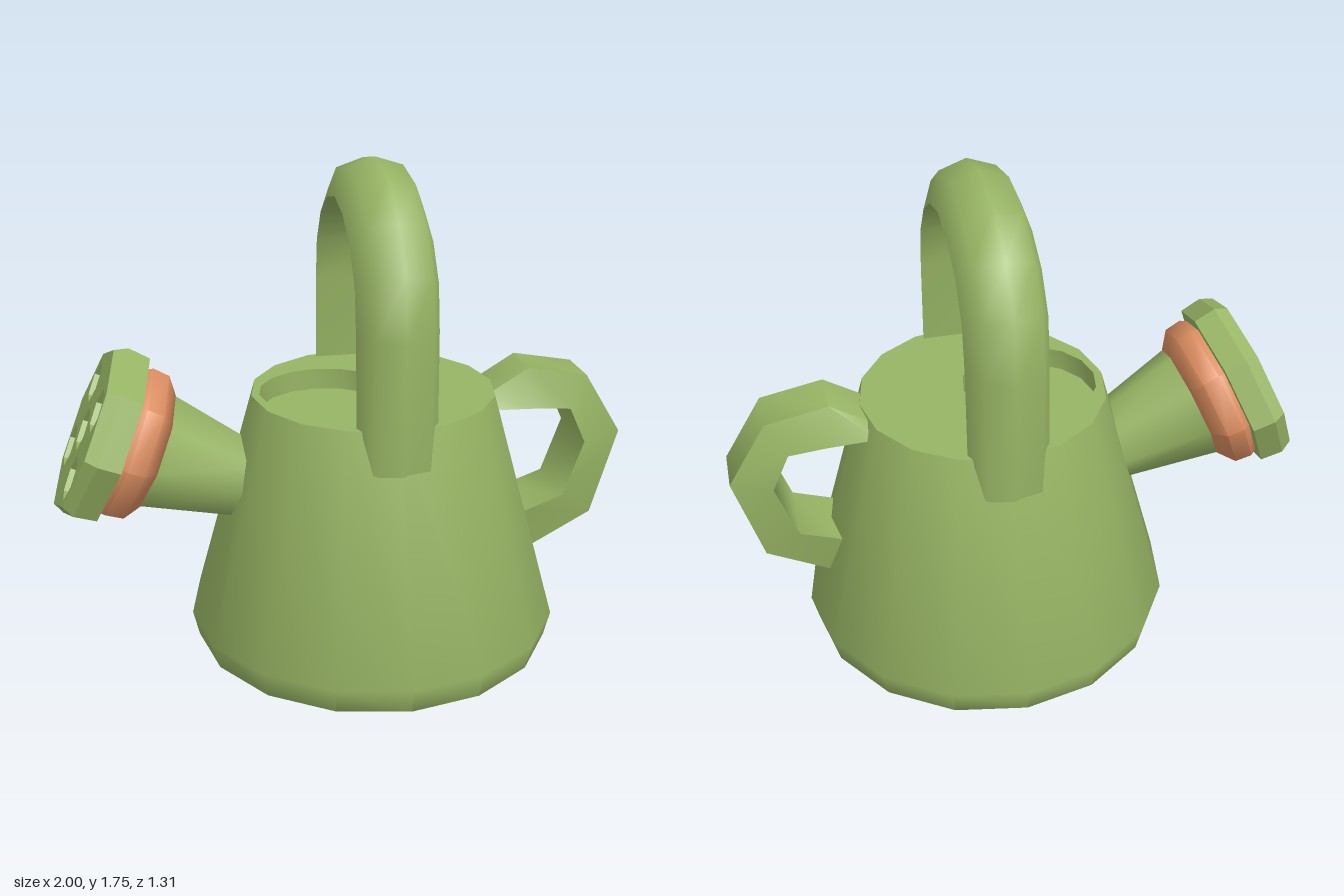
import * as THREE from 'three';
import { toCreasedNormals } from 'three/addons/utils/BufferGeometryUtils.js';

const green = new THREE.MeshStandardMaterial({ color: 0x97b464 });
green.name = 'leaf green';
const orange = new THREE.MeshStandardMaterial({ color: 0xd98c5f });
orange.name = 'terracotta orange';

function mesh(name, geometry, material = green) {
  const m = new THREE.Mesh(geometry, material);
  m.name = name;
  return m;
}

// Turned part: profile of [radius, height] running bottom to top on the outside
function turned(profile, sides, crease = 0.9) {
  const points = profile.map(([r, y]) => new THREE.Vector2(r, y));
  return toCreasedNormals(new THREE.LatheGeometry(points, sides), crease);
}

// Regular polygon matching the vertex layout of a lathe
function polygon(cx, cz, r, sides) {
  const points = [];
  for (let i = 0; i < sides; i++) {
    const a = (i / sides) * Math.PI * 2;
    points.push(new THREE.Vector2(cx + r * Math.sin(a), -(cz + r * Math.cos(a))));
  }
  return points;
}

// Flat upward face with sunken holes, each hole being [x, z]
function piercedFace(name, radius, sides, holes, holeRadius, holeSides, depth) {
  const group = new THREE.Group();
  group.name = name;
  const shape = new THREE.Shape(polygon(0, 0, radius, sides));
  for (const [x, z] of holes) {
    shape.holes.push(new THREE.Path(polygon(x, z, holeRadius, holeSides)));
    const well = mesh(name + 'Hole',
      turned([[holeRadius, 0], [holeRadius, -depth], [0, -depth]], holeSides, 0.6));
    well.position.set(x, 0, z);
    group.add(well);
  }
  group.add(mesh(name + 'Plate', new THREE.ShapeGeometry(shape).rotateX(-Math.PI / 2)));
  return group;
}

// Handle lofted between an outer and an inner rail.
// stations: [outerA, outerY, innerA, innerY]; section: [halfWidth, 0 inner .. 1 outer]
function handle(stations, section, place) {
  const positions = [], index = [], n = section.length;
  stations.forEach(([oa, oy, ia, iy], i) => {
    section.forEach(([w, t], j) => {
      positions.push(...place(ia + (oa - ia) * t, iy + (oy - iy) * t, w));
      if (i === stations.length - 1) return;
      const k = (j + 1) % n;
      const a = i * n + j, b = a + n, c = (i + 1) * n + k, d = i * n + k;
      index.push(a, b, d, b, c, d);
    });
  });
  const g = new THREE.BufferGeometry();
  g.setAttribute('position', new THREE.Float32BufferAttribute(positions, 3));
  g.setIndex(index);
  return toCreasedNormals(g, 1.0);
}

export function createModel() {
  const model = new THREE.Group();
  model.name = 'wateringCan';
  const bodyX = 0.115, topY = 0.945, topR = 0.425;

  // Tapered body with a rounded foot
  const body = mesh('body', turned(
    [[0, 0], [0.55, 0], [0.635, 0.04], [0.656, 0.13], [topR, topY]], 16));
  body.position.x = bodyX;
  model.add(body);

  // Top with the filling hole
  const lid = piercedFace('top', topR, 16, [[-0.165, 0]], 0.232, 16, 0.075);
  lid.position.set(bodyX, topY, 0);
  model.add(lid);

  // Carrying handle arching from front to back
  const half = [
    [0.462, 0.72, 0.382, 0.72], [0.485, 1.25, 0.36, 1.25], [0.45, 1.45, 0.335, 1.4],
    [0.345, 1.605, 0.255, 1.515], [0.19, 1.71, 0.135, 1.59],
  ];
  const arch = [...half, [0, 1.745, 0, 1.62],
    ...half.map(([oz, oy, iz, iy]) => [-oz, oy, -iz, iy]).reverse()];
  model.add(mesh('carryingHandle', handle(arch,
    [[0.135, 0], [0.095, 0.76], [0, 1], [-0.095, 0.76], [-0.135, 0]],
    (z, y, w) => [bodyX + w, y, z])));

  // Pouring handle on the side away from the spout
  model.add(mesh('pouringHandle', handle([
    [0.51, 0.925, 0.5, 0.875], [0.65, 1.01, 0.67, 0.87], [0.865, 0.97, 0.8, 0.86],
    [1.0, 0.75, 0.86, 0.73], [0.91, 0.44, 0.79, 0.53], [0.705, 0.33, 0.665, 0.485],
    [0.64, 0.3, 0.6, 0.46],
  ], [[0.12, 0], [0.085, 1], [-0.085, 1], [-0.12, 0]],
  (x, y, w) => [x, y, w])));

  // Spout, built along its own axis with the rose face at the origin
  const spout = new THREE.Group();
  spout.name = 'spout';
  spout.position.set(-0.88, 0.868, 0);
  spout.rotation.z = 1.158;
  spout.add(mesh('spoutTube', turned([[0.135, -0.6], [0.212, -0.24]], 8)));
  spout.add(mesh('collar', turned(
    [[0.2, -0.25], [0.212, -0.25], [0.27, -0.205], [0.277, -0.145], [0.262, -0.12]], 8), orange));
  spout.add(mesh('rose', turned(
    [[0, -0.122], [0.306, -0.122], [0.315, -0.043], [0.293, 0]], 8, 0.5)));
  const holes = [[0, 0]];
  for (const sx of [-1, 1]) for (const sz of [-1, 1]) holes.push([sx * 0.125, sz * 0.145]);
  spout.add(piercedFace('roseFace', 0.293, 8, holes, 0.077, 6, 0.06));
  model.add(spout);

  return model;
}
